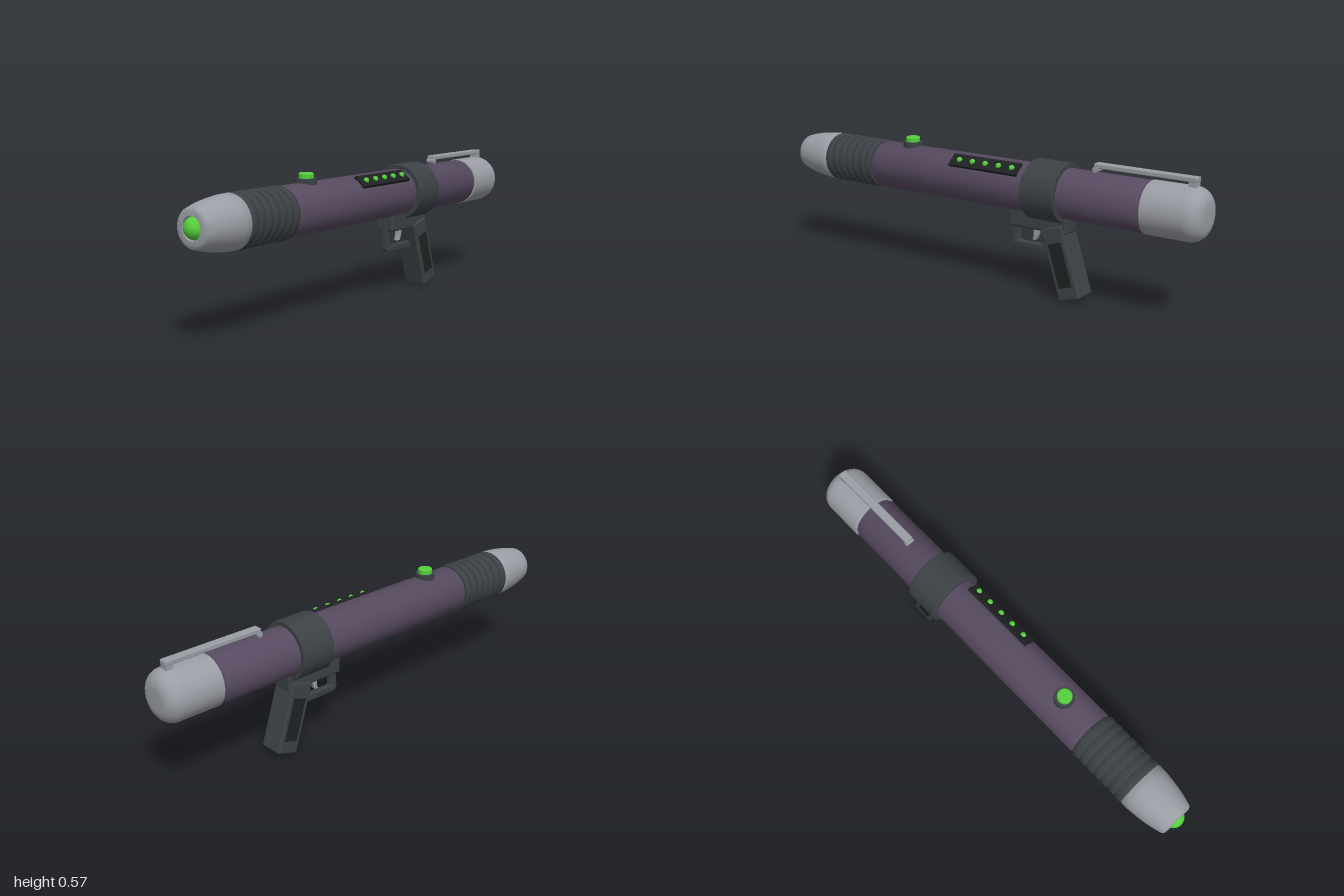
import * as THREE from 'three';
import { toCreasedNormals } from 'three/addons/utils/BufferGeometryUtils.js';
import { RoundedBoxGeometry } from 'three/addons/geometries/RoundedBoxGeometry.js';

const AXIS = 0.437; // height of the barrel axis

function material(name, color) {
  const m = new THREE.MeshStandardMaterial({ color });
  m.name = name;
  return m;
}

export function createModel() {
  const purple = material('purple body', 0x574a60);
  const dark = material('dark grey', 0x3b4145);
  const silver = material('silver', 0x9a9da4);
  const green = material('glowing green', 0x55d03c);
  const black = material('black', 0x202122);

  const model = new THREE.Group();
  model.name = 'penLauncher';

  function add(name, geometry, mat, x = 0, y = 0, z = 0, parent = model) {
    const mesh = new THREE.Mesh(geometry, mat);
    mesh.name = name;
    mesh.position.set(x, y, z);
    parent.add(mesh);
    return mesh;
  }

  // Turned part along z from [radius, z] pairs, listed from back to front
  function turned(name, profile, mat) {
    const points = profile.map(([r, z]) => new THREE.Vector2(r, z));
    const g = new THREE.LatheGeometry(points, 48).rotateX(Math.PI / 2);
    return add(name, toCreasedNormals(g, 0.6), mat, 0, AXIS, 0);
  }

  // Barrel
  turned('barrel', [[0.094, -0.78], [0.094, -0.762], [0.097, -0.762], [0.1, -0.757],
    [0.1, 0.507], [0.097, 0.512], [0.09, 0.512]], purple);
  turned('collar', [[0.098, -0.417], [0.117, -0.417], [0.12, -0.413],
    [0.12, -0.269], [0.117, -0.265], [0.098, -0.265]], dark);

  // Rounded rear cap
  const cap = [[0, -1]];
  for (let i = 0; i <= 10; i++) {
    const a = (i / 10) * Math.PI / 2;
    cap.push([0.043 + 0.06 * Math.sin(a), -0.94 - 0.06 * Math.cos(a)]);
  }
  cap.push([0.103, -0.773], [0.1, -0.769], [0.09, -0.769]);
  turned('rearCap', cap, silver);

  // Ribbed front grip
  const ribs = [];
  const pitch = 0.268 / 7;
  for (let i = 0; i < 7; i++) {
    const z = 0.514 + i * pitch;
    ribs.push([0.093, z], [0.093, z + 0.004], [0.101, z + 0.005], [0.104, z + 0.011],
      [0.104, z + pitch - 0.007], [0.101, z + pitch - 0.001]);
  }
  ribs.push([0.09, 0.784]);
  turned('ribbedGrip', ribs, dark);

  // Nose and glowing tip
  turned('nose', [[0.09, 0.783], [0.101, 0.783], [0.103, 0.787], [0.102, 0.82], [0.098, 0.86],
    [0.091, 0.905], [0.083, 0.94], [0.075, 0.968], [0.07, 0.975], [0.062, 0.978],
    [0.043, 0.978], [0.04, 0.965]], silver);
  add('tip', new THREE.SphereGeometry(0.042, 32, 20), green, 0, AXIS, 0.958);

  // Top button
  add('buttonBase', new THREE.CylinderGeometry(0.041, 0.042, 0.04, 24), dark, 0, 0.533, 0.36);
  add('button', new THREE.CylinderGeometry(0.03, 0.03, 0.024, 20), green, 0, 0.558, 0.36);
  add('buttonTop', new THREE.CylinderGeometry(0.026, 0.03, 0.004, 20), green, 0, 0.572, 0.36);

  // Light strip on the upper left of the barrel
  const strip = new THREE.Group();
  strip.name = 'lightStrip';
  strip.position.y = AXIS;
  strip.rotation.z = -0.68;
  model.add(strip);
  add('stripPlate', new THREE.BoxGeometry(0.06, 0.022, 0.33), black, 0, 0.097, -0.063, strip);
  for (let i = 0; i < 5; i++) {
    add('light', new THREE.SphereGeometry(0.012, 16, 10), green, 0, 0.108, 0.06 - i * 0.064, strip);
  }

  // Pocket clip
  add('clipBar', new RoundedBoxGeometry(0.036, 0.019, 0.42, 2, 0.004), silver, 0, 0.565, -0.745);
  add('clipMount', new THREE.BoxGeometry(0.034, 0.045, 0.03), silver, 0, 0.546, -0.937);
  add('clipEnd', new THREE.CylinderGeometry(0.012, 0.012, 0.036, 16).rotateZ(Math.PI / 2),
    silver, 0, 0.55, -0.541);

  // Mount under the barrel
  add('gripMount', new RoundedBoxGeometry(0.086, 0.085, 0.268, 3, 0.01), dark, 0, 0.3195, -0.3);

  // Trigger guard, outlined in (z, y)
  const side = (shape, width) => new THREE.ExtrudeGeometry(shape, {
    depth: width - 0.006, bevelSize: 0.003, bevelThickness: 0.003, bevelSegments: 2, curveSegments: 8,
  }).translate(0, 0, -(width - 0.006) / 2).rotateY(-Math.PI / 2);
  const roundRect = (path, z0, y0, z1, y1, r) => {
    path.moveTo(z0 + r, y0).lineTo(z1 - r, y0).quadraticCurveTo(z1, y0, z1, y0 + r)
      .lineTo(z1, y1).lineTo(z0, y1).lineTo(z0, y0 + r).quadraticCurveTo(z0, y0, z0 + r, y0);
    return path;
  };
  const guard = roundRect(new THREE.Shape(), -0.37, 0.188, -0.167, 0.3, 0.02);
  guard.holes.push(roundRect(new THREE.Path(), -0.352, 0.209, -0.188, 0.285, 0.01));
  add('triggerGuard', toCreasedNormals(side(guard, 0.03), 0.6), dark);

  // Curved trigger
  const trigger = new THREE.Shape();
  trigger.moveTo(-0.257, 0.29).quadraticCurveTo(-0.274, 0.255, -0.262, 0.228)
    .lineTo(-0.272, 0.228).quadraticCurveTo(-0.288, 0.255, -0.283, 0.29);
  add('trigger', toCreasedNormals(side(trigger, 0.022), 0.6), silver);

  // Slanted pistol grip with side panels
  const grip = new THREE.Group();
  grip.name = 'pistolGrip';
  grip.position.set(0, 0.16, -0.414);
  grip.rotation.x = 0.315;
  model.add(grip);
  add('gripBody', new RoundedBoxGeometry(0.104, 0.298, 0.1, 3, 0.01), dark, 0, 0, 0, grip);
  for (const s of [-1, 1]) {
    add('gripPanel', new THREE.BoxGeometry(0.006, 0.18, 0.06), black, s * 0.0505, -0.005, 0, grip);
  }

  return model;
}
